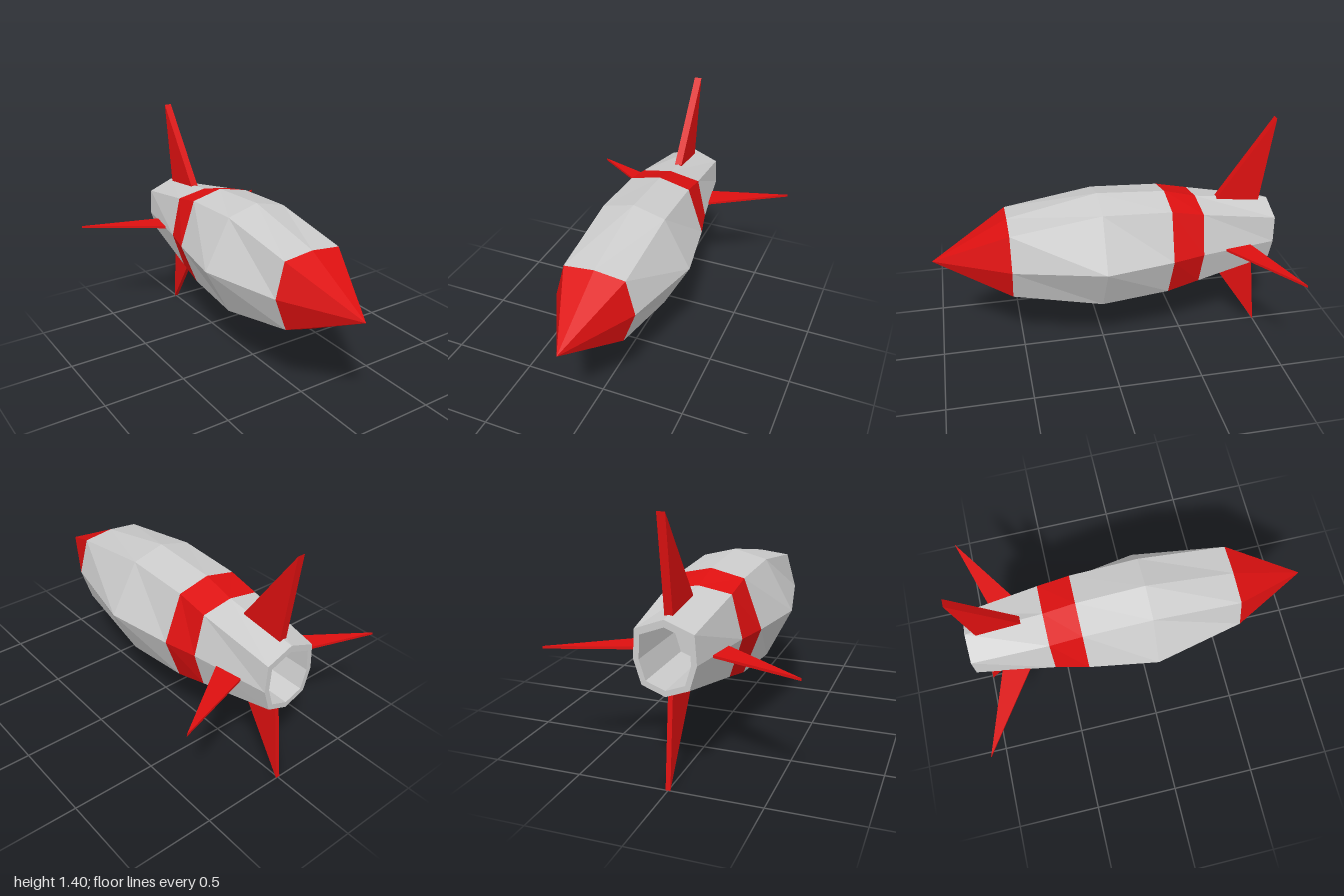
import * as THREE from 'three';

const grey = new THREE.MeshStandardMaterial({ color: 0xcccccc, flatShading: true });
const red = new THREE.MeshStandardMaterial({ color: 0xdd1010, flatShading: true });
const AXIS_Y = 0.68;

// Mirrored eight-sided cross-section, counterclockwise seen from the front
function ring(z, topY, [ux, uy], [sx, sy], [lx, ly], botY) {
  return [[0, topY], [-ux, uy], [-sx, sy], [-lx, ly], [0, botY], [lx, ly], [sx, sy], [ux, uy]]
    .map(([x, y]) => new THREE.Vector3(x, y, z));
}

// Copy of a ring shrunk about the body axis and moved to another z
const shrink = (r, s, z) =>
  r.map(p => new THREE.Vector3(p.x * s, AXIS_Y + (p.y - AXIS_Y) * s, z));

// Skin a sequence of rings, leaving out triangles that collapse at a point
function loft(name, rings, material) {
  const pos = [];
  const tri = (a, b, c) => {
    if (new THREE.Triangle(a, b, c).getArea() > 1e-7) {
      for (const p of [a, b, c]) pos.push(p.x, p.y, p.z);
    }
  };
  for (let i = 0; i < rings.length - 1; i++) {
    const r = rings[i], q = rings[i + 1];
    for (let j = 0; j < r.length; j++) {
      const k = (j + 1) % r.length;
      tri(r[j], q[j], r[k]);
      tri(r[k], q[j], q[k]);
    }
  }
  const g = new THREE.BufferGeometry();
  g.setAttribute('position', new THREE.Float32BufferAttribute(pos, 3));
  g.computeVertexNormals();
  const mesh = new THREE.Mesh(g, material);
  mesh.name = name;
  return mesh;
}

// Flat fin: outline is [distance from axis, z], extruded across its thickness
function fin(name, outline, thickness, angle) {
  const shape = new THREE.Shape(outline.map(([d, z]) => new THREE.Vector2(-z, d)));
  const g = new THREE.ExtrudeGeometry(shape, { depth: thickness, bevelEnabled: false });
  g.translate(0, 0, -thickness / 2);
  g.rotateY(Math.PI / 2); // outline now lies in the y-z plane, pointing up
  g.rotateZ(angle);
  const mesh = new THREE.Mesh(g, red);
  mesh.name = name;
  mesh.position.y = AXIS_Y;
  return mesh;
}

export function createModel() {
  const model = new THREE.Group();
  model.name = 'rocket';

  // Cross-sections from nose to tail
  const nose = ring(0.56, 0.91, [0.18, 0.89], [0.235, 0.685], [0.165, 0.485], 0.44);
  const tip = shrink(nose, 0, 1).map(p => p.setY(0.675));
  const belly = ring(0.04, 1.02, [0.19, 0.97], [0.35, 0.675], [0.2, 0.385], 0.325);
  const bandFront = ring(-0.36, 0.995, [0.187, 0.952], [0.285, 0.677], [0.185, 0.417], 0.365);
  const bandBack = ring(-0.55, 0.945, [0.183, 0.913], [0.24, 0.678], [0.17, 0.46], 0.422);
  const tail = ring(-1, 0.892, [0.155, 0.833], [0.165, 0.68], [0.125, 0.55], 0.503);

  // Hull
  model.add(loft('noseCone', [tip, nose], red));
  model.add(loft('frontBody', [nose, belly, bandFront], grey));
  model.add(loft('bodyBand', [bandFront, bandBack], red));

  // Tail with its rim and hollow exhaust
  model.add(loft('tailBody', [
    bandBack, tail,
    shrink(tail, 0.82, -1), shrink(tail, 0.82, -0.56), shrink(tail, 0, -0.56),
  ], grey));

  // Fins, roots sunk slightly into the hull
  model.add(fin('topFin', [[0.22, -0.68], [0.25, -0.68], [0.72, -1], [0.215, -0.94], [0.19, -0.94]], 0.044, 0));
  model.add(fin('bottomFin', [[0.2, -0.7], [0.23, -0.7], [0.68, -1], [0.18, -0.94], [0.165, -0.94]], 0.026, Math.PI));
  for (const side of [1, -1]) {
    model.add(fin(side > 0 ? 'leftFin' : 'rightFin',
      [[0.18, -0.69], [0.21, -0.69], [0.665, -1], [0.17, -0.845], [0.15, -0.845]],
      0.014, -side * Math.PI / 2));
  }
  return model;
}
